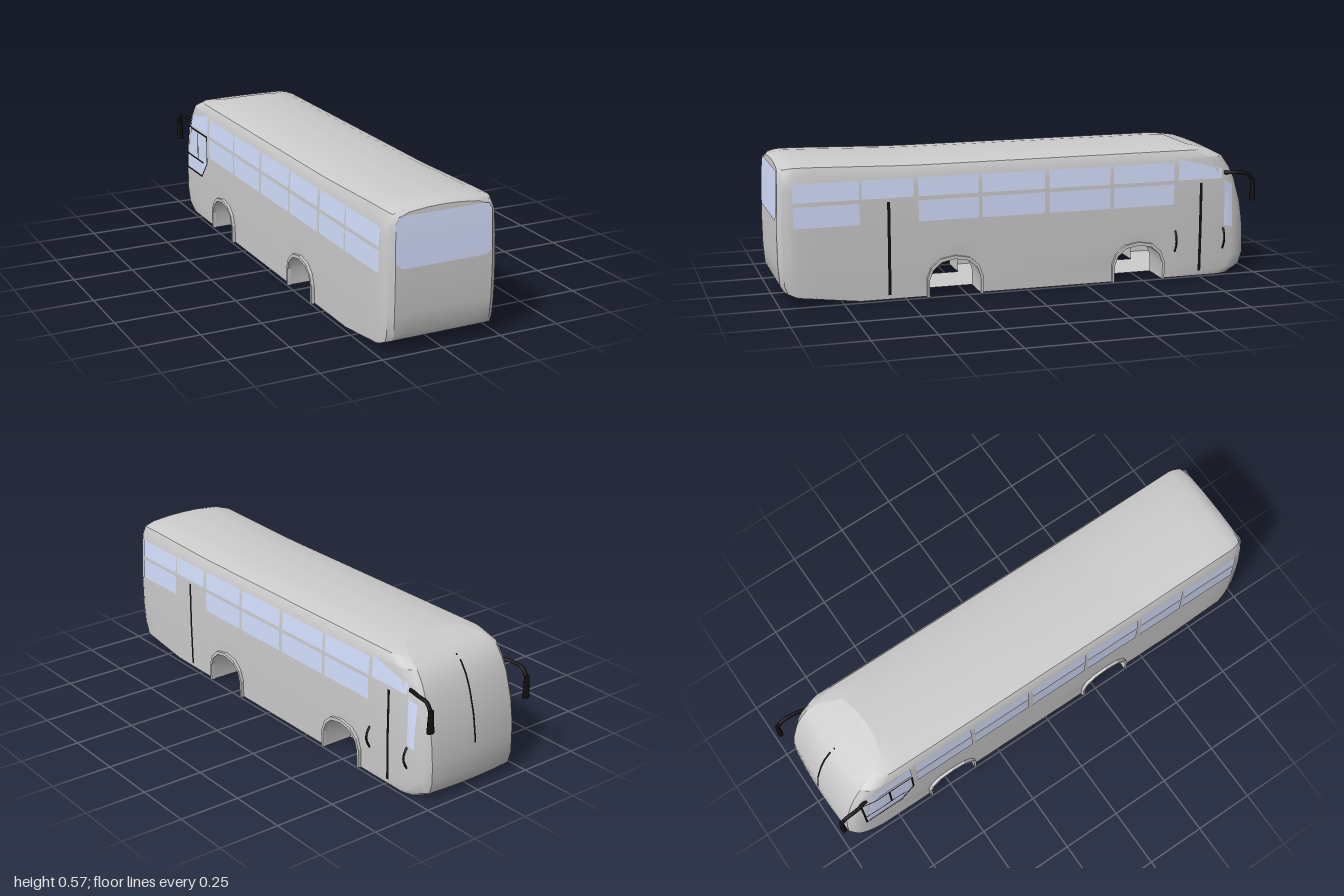
import * as THREE from 'three';
import { toCreasedNormals } from 'three/addons/utils/BufferGeometryUtils.js';

const material = (color) => new THREE.MeshStandardMaterial({ color, side: THREE.DoubleSide });
const grey = material(0xcccccc);
const glass = material(0xd6e0ff);
const black = material(0x111111);

// Piecewise linear lookup in a list of [key, value]
function lookup(table, t) {
  if (t <= table[0][0]) return table[0][1];
  for (let i = 1; i < table.length; i++) {
    const [a, va] = table[i - 1], [b, vb] = table[i];
    if (t <= b) return va + (vb - va) * (t - a) / (b - a);
  }
  return table[table.length - 1][1];
}

// Surface from a rule fn(i, j) over a grid of m by n cells
function grid(m, n, fn, flip = false, skip = () => false) {
  const pos = [];
  for (let i = 0; i < m; i++) for (let j = 0; j < n; j++) {
    if (skip(j)) continue;
    const a = fn(i, j), b = fn(i + 1, j), c = fn(i + 1, j + 1), d = fn(i, j + 1);
    for (const p of flip ? [a, c, b, a, d, c] : [a, b, c, a, c, d]) pos.push(...p);
  }
  const g = new THREE.BufferGeometry();
  g.setAttribute('position', new THREE.Float32BufferAttribute(pos, 3));
  return toCreasedNormals(g, 0.5);
}

// Body outline curves
const floorY = [[-1, 0], [0.68, 0.003], [0.93, 0.035], [1, 0.065]];
const frontZ = [[0, -0.9], [0.03, -0.95], [0.08, -0.965], [0.2, -0.962], [0.3, -0.947],
  [0.4, -0.918], [0.45, -0.895], [0.5, -0.86], [0.53, -0.8], [0.545, -0.72], [0.555, -0.69]];
const rearZ = [[0, 0.97], [0.06, 0.985], [0.1, 0.997], [0.3, 0.999], [0.5, 0.99], [0.555, 0.985]];
const sideX = [[0, 0.235], [0.2, 0.238], [0.4, 0.237], [0.5, 0.231], [0.53, 0.215]];
const frontInset = [[0, 0.035], [0.02, 0.014], [0.05, 0.004], [0.07, 0]];
const rearInset = [[0, 0.035], [0.015, 0.014], [0.04, 0.004], [0.06, 0]];
const bulge = (x) => 0.01 * Math.max(0, 1 - (x / 0.2) ** 2);

// Section rows, from the middle of the floor up to the middle of the roof
const rows = [{ x: 0, y: 0, floor: true }, { x: 0.11, y: 0, floor: true }, { x: 0.11, y: 0 }];
for (const y of [0, 0.03, 0.08, 0.16, 0.22, 0.3, 0.4, 0.45, 0.5, 0.53]) rows.push({ x: lookup(sideX, y), y });
rows.push({ x: 0.17, y: 0.545 }, { x: 0.08, y: 0.553 }, { x: 0, y: 0.555 });

// Stations from the +z end to the -z end, following the wheel arches
const archCentres = [0.3, -0.48];
const halfArch = [[0.105, 0], [0.105, 0.07], [0.09, 0.11], [0.055, 0.14], [0, 0.15]];
const archPoints = [...halfArch, ...halfArch.slice(0, 4).reverse().map(([z, y]) => [-z, y])];
const archStations = (c) => archPoints.map(([z, b]) => ({ z: c + z, b }));
const stations = [
  ...rearInset.map(([d, inset]) => ({ end: 1, d, inset })),
  ...[0.85, 0.68, 0.5].map((z) => ({ z })),
  ...archStations(0.3), { z: 0 }, ...archStations(-0.48),
  ...[...frontInset].reverse().map(([d, inset]) => ({ end: -1, d, inset })),
];

function bodyPoint(st, row) {
  const inset = st.inset || 0;
  const x = row.x * (1 - inset / 0.235);
  let z = st.z;
  if (st.end === 1) z = lookup(rearZ, row.y) - st.d;
  if (st.end === -1) z = lookup(frontZ, row.y) + st.d - (st.d === 0 ? bulge(x) : 0);
  const low = lookup(floorY, z);
  let y = row.floor ? low : Math.max(row.y, low, st.b || 0);
  if (row.y > 0.52) {
    y += 0.013 * THREE.MathUtils.smoothstep(z, 0.4, 0.95); // raised tail of the roof
    if (st.end === 1) y -= inset * 0.5;
  }
  return [x, y, z];
}

export function createModel() {
  const bus = new THREE.Group();
  const add = (name, geometry, mat) => {
    const mesh = new THREE.Mesh(geometry, mat);
    mesh.name = name;
    bus.add(mesh);
    return mesh;
  };

  // Shell halves; the row inside the wheel wells stays open
  for (const s of [1, -1]) {
    add('bodyShell', grid(stations.length - 1, rows.length - 1, (i, j) => {
      const [x, y, z] = bodyPoint(stations[i], rows[j]);
      return [s * x, y, z];
    }, s < 0, (j) => j === 1), grey);
  }

  // End panels
  const cap = (st, s) => grid(6, rows.length - 4, (i, j) => {
    const [ex, y, ez] = bodyPoint(st, rows[j + 3]);
    const x = ex * (i / 3 - 1) * s;
    return [x, y, s > 0 ? ez : ez + bulge(ex) - bulge(x)];
  });
  add('rearPanel', cap(stations[0], 1), grey);
  add('windscreenPanel', cap(stations[stations.length - 1], -1), grey);

  // Rear window with clipped corners
  const rearWidth = [[0.335, 0.175], [0.355, 0.2], [0.505, 0.199], [0.53, 0.185]];
  const rearYs = [0.335, 0.355, 0.43, 0.505, 0.53];
  add('rearWindow', grid(2, 4, (i, j) => {
    const y = rearYs[j];
    return [(i - 1) * lookup(rearWidth, y), y, lookup(rearZ, y) + 0.003];
  }), glass);

  // Patch lying on a side wall; y limits may differ at its two ends
  const patch = (name, s, z0, z1, [a0, a1], [b0, b1], mat, lift = 0.002) =>
    add(name, grid(4, 4, (i, j) => {
      const u = i / 4, v = j / 4;
      const z = z0 + (z1 - z0) * u;
      const y = THREE.MathUtils.lerp(a0 + (b0 - a0) * u, a1 + (b1 - a1) * u, v);
      const x = lookup(sideX, y) - lookup(frontInset, z - lookup(frontZ, y));
      return [s * (x + lift), y, z];
    }, s < 0), mat);

  // Side windows in two rows; the rear door has only the upper pane
  const columns = [[0.94, 0.68], [0.67, 0.465], [0.445, 0.2], [0.185, -0.075], [-0.095, -0.355], [-0.37, -0.635]];
  for (const s of [1, -1]) {
    columns.forEach(([z0, z1], k) => {
      patch('upperWindow', s, z0, z1, [0.41, 0.485], [0.41, 0.485], glass);
      if (s < 0 || k !== 1) patch('lowerWindow', s, z0, z1, [0.31, 0.395], [0.31, 0.395], glass);
    });
    patch('frontUpperWindow', s, -0.655, -0.85, [0.41, 0.498], [0.41, 0.45], glass);
  }
  patch('cornerWindow', 1, -0.862, -0.9, [0.21, 0.4], [0.2, 0.38], glass);

  // Driver's window with its black frame
  patch('driverWindow', -1, -0.66, -0.72, [0.28, 0.395], [0.205, 0.395], glass);
  patch('driverWindow', -1, -0.72, -0.89, [0.205, 0.395], [0.2, 0.395], glass);
  const bars = [[-0.655, -0.663, 0.28, 0.4], [-0.76, -0.768, 0.27, 0.4], [-0.885, -0.893, 0.2, 0.4],
    [-0.655, -0.89, 0.395, 0.403], [-0.7, -0.89, 0.265, 0.273], [-0.72, -0.89, 0.198, 0.206]];
  for (const [z0, z1, y0, y1] of bars) patch('driverWindowFrame', -1, z0, z1, [y0, y1], [y0, y1], black, 0.004);
  patch('driverWindowFrame', -1, -0.655, -0.72, [0.276, 0.286], [0.198, 0.208], black, 0.004);

  // Door seams and grab handles
  for (const z of [0.565, -0.755]) patch('doorSeam', 1, z + 0.006, z - 0.006, [0.02, 0.395], [0.02, 0.395], black, 0.003);
  for (const z of [-0.645, -0.86]) {
    const curve = new THREE.CatmullRomCurve3([[0.234, 0.2], [0.25, 0.175], [0.252, 0.145], [0.236, 0.11]]
      .map(([x, y]) => new THREE.Vector3(x, y, z)));
    add('doorHandle', new THREE.TubeGeometry(curve, 10, 0.004, 6), black);
  }

  // Windscreen centre strip
  add('windscreenStrip', grid(1, 16, (i, j) => {
    const y = 0.19 + 0.32 * j / 16;
    return [0.004 - 0.008 * i, y, lookup(frontZ, y) - 0.0125];
  }), black);

  // Wheel arch flares
  const outline = (k) => archPoints.map(([z, y]) => new THREE.Vector2(z * k, y * k));
  const flare = new THREE.Shape([...outline(1.09), ...outline(1).reverse()]);
  const flareGeometry = new THREE.ExtrudeGeometry(flare, { depth: 0.016, bevelEnabled: false });
  flareGeometry.rotateY(Math.PI / 2);
  for (const s of [1, -1]) for (const c of archCentres) {
    add('archFlare', flareGeometry, grey).position.set(s > 0 ? 0.233 : -0.249, 0, c);
  }

  // Mirrors on curved arms
  for (const s of [1, -1]) {
    const arm = new THREE.CatmullRomCurve3([[0.226, 0.43, -0.86], [0.238, 0.43, -0.91],
      [0.24, 0.422, -0.965], [0.24, 0.395, -0.985]].map(([x, y, z]) => new THREE.Vector3(s * x, y, z)));
    add('mirrorArm', new THREE.TubeGeometry(arm, 12, 0.008, 6), black);
    const head = new THREE.CylinderGeometry(0.011, 0.016, 0.09, 8);
    head.scale(1.05, 1, 0.75);
    add('mirrorHead', head, black).position.set(s * 0.24, 0.355, -0.988);
  }
  return bus;
}
